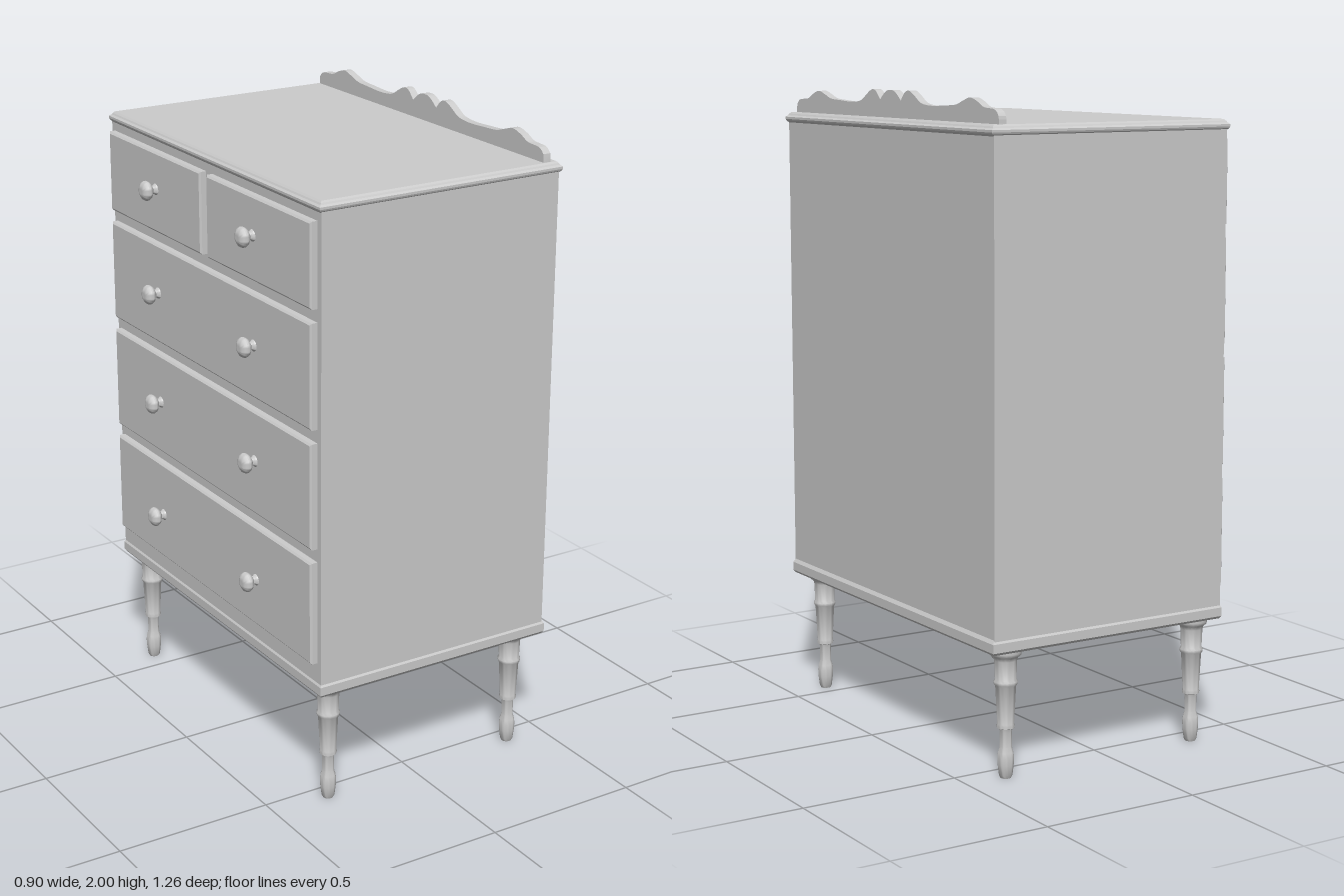
import * as THREE from 'three';
import { toCreasedNormals } from 'three/addons/utils/BufferGeometryUtils.js';

const material = new THREE.MeshStandardMaterial({ color: 0xcccccc });

function add(parent, name, geometry, x = 0, y = 0, z = 0) {
  const mesh = new THREE.Mesh(geometry, material);
  mesh.name = name;
  mesh.position.set(x, y, z);
  parent.add(mesh);
  return mesh;
}

// Closed block from stacked rectangles: each level is [y, inset from the x/z bounds]
function steppedBlock(x0, x1, z0, z1, levels) {
  const pos = [], index = [];
  for (const [y, i] of levels) {
    pos.push(x0 + i, y, z1 - i, x1 - i, y, z1 - i, x1 - i, y, z0 + i, x0 + i, y, z0 + i);
  }
  for (let l = 0; l < levels.length - 1; l++) {
    for (let k = 0; k < 4; k++) {
      const a = l * 4 + k, b = l * 4 + (k + 1) % 4;
      index.push(a, b, b + 4, a, b + 4, a + 4);
    }
  }
  const t = (levels.length - 1) * 4;
  index.push(0, 2, 1, 0, 3, 2, t, t + 1, t + 2, t, t + 2, t + 3);
  const g = new THREE.BufferGeometry();
  g.setAttribute('position', new THREE.Float32BufferAttribute(pos, 3));
  g.setIndex(index);
  const flat = g.toNonIndexed();
  flat.computeVertexNormals();
  return flat;
}

function turned(profile, segments = 28) {
  const points = profile.map(([r, y]) => new THREE.Vector2(r, y));
  return toCreasedNormals(new THREE.LatheGeometry(points, segments), 0.7);
}

// Drawer front: bevelled panel facing -x
function drawerFront(width, height) {
  const bevel = 0.006;
  const g = steppedBlock(-height / 2, height / 2, -width / 2, width / 2,
    [[-0.005, 0], [0.018, 0], [0.023, bevel]]);
  return g.rotateZ(Math.PI / 2);
}

// Scalloped gallery outline, symmetric about z = 0
function backboard() {
  const half = [[0.614, 1.92], [0.611, 1.942], [0.59, 1.958], [0.535, 1.963], [0.5, 1.978],
    [0.46, 1.988], [0.42, 1.978], [0.38, 1.966], [0.32, 1.962], [0.243, 1.959], [0.185, 1.965],
    [0.15, 1.983], [0.125, 1.996], [0.106, 2.0], [0.087, 1.994], [0.063, 1.97]];
  const crest = [[0.063, 1.97], [0.04, 1.988], [0.02, 1.998], [0, 2.0],
    [-0.02, 1.998], [-0.04, 1.988], [-0.063, 1.97]];
  const vec = ([z, y]) => new THREE.Vector2(z, y);
  const shape = new THREE.Shape();
  shape.moveTo(0.614, 1.905);
  shape.lineTo(0.614, 1.92);
  shape.splineThru(half.slice(1).map(vec));
  shape.splineThru(crest.slice(1).map(vec));
  shape.splineThru(half.slice(1, -1).reverse().map(([z, y]) => vec([-z, y])));
  shape.lineTo(-0.614, 1.92);
  shape.lineTo(-0.614, 1.905);
  const g = new THREE.ExtrudeGeometry(shape, { depth: 0.025, bevelEnabled: false, curveSegments: 48 });
  g.rotateY(Math.PI / 2);
  return toCreasedNormals(g, 0.5);
}

export function createModel() {
  const group = new THREE.Group();
  group.name = 'chestOfDrawers';

  // Carcass with base moulding and top slab
  add(group, 'carcass', steppedBlock(-0.38, 0.438, -0.626, 0.626, [[0.4, 0], [1.895, 0]]));
  add(group, 'baseMoulding', steppedBlock(-0.384, 0.445, -0.63, 0.63,
    [[0.39, 0.006], [0.398, 0], [0.425, 0], [0.436, 0.007]]));
  add(group, 'topSlab', steppedBlock(-0.388, 0.448, -0.631, 0.631,
    [[1.884, 0.008], [1.89, 0.002], [1.895, 0], [1.902, 0], [1.907, 0.006], [1.912, 0.009], [1.917, 0.014]]));
  add(group, 'backboard', backboard(), 0.39);

  // Drawers and knobs
  const knob = turned([[0.019, -0.004], [0.018, 0.003], [0.013, 0.008], [0.012, 0.015], [0.018, 0.02],
    [0.027, 0.025], [0.031, 0.033], [0.031, 0.038], [0.027, 0.045], [0.018, 0.051], [0.008, 0.054], [0, 0.055]])
    .rotateZ(Math.PI / 2);
  const rows = [
    { y0: 0.497, y1: 0.825, knobY: 0.65 },
    { y0: 0.867, y1: 1.198, knobY: 1.04 },
    { y0: 1.24, y1: 1.562, knobY: 1.405 },
    { y0: 1.602, y1: 1.858, knobY: 1.74, split: true },
  ];
  rows.forEach(({ y0, y1, knobY, split }, i) => {
    const row = new THREE.Group();
    row.name = `drawerRow${i + 1}`;
    group.add(row);
    const y = (y0 + y1) / 2;
    if (split) {
      for (const s of [-1, 1]) add(row, 'smallDrawer', drawerFront(0.587, y1 - y0), -0.38, y, s * 0.3125);
    } else {
      add(row, 'wideDrawer', drawerFront(1.212, y1 - y0), -0.38, y, 0);
    }
    for (const z of [-0.3, 0.288]) add(row, 'knob', knob, -0.401, knobY, z);
  });

  // Turned legs
  const leg = turned([[0, 0], [0.016, 0], [0.02, 0.008], [0.024, 0.04], [0.025, 0.062], [0.023, 0.078],
    [0.018, 0.095], [0.018, 0.14], [0.02, 0.15], [0.026, 0.153], [0.027, 0.16], [0.025, 0.166],
    [0.031, 0.28], [0.035, 0.286], [0.036, 0.294], [0.032, 0.301], [0.034, 0.358], [0.037, 0.368],
    [0.046, 0.375], [0.048, 0.383], [0.048, 0.395]]);
  for (const x of [-0.31, 0.368]) {
    for (const z of [-0.575, 0.555]) add(group, 'leg', leg, x, 0, z);
  }
  return group;
}
